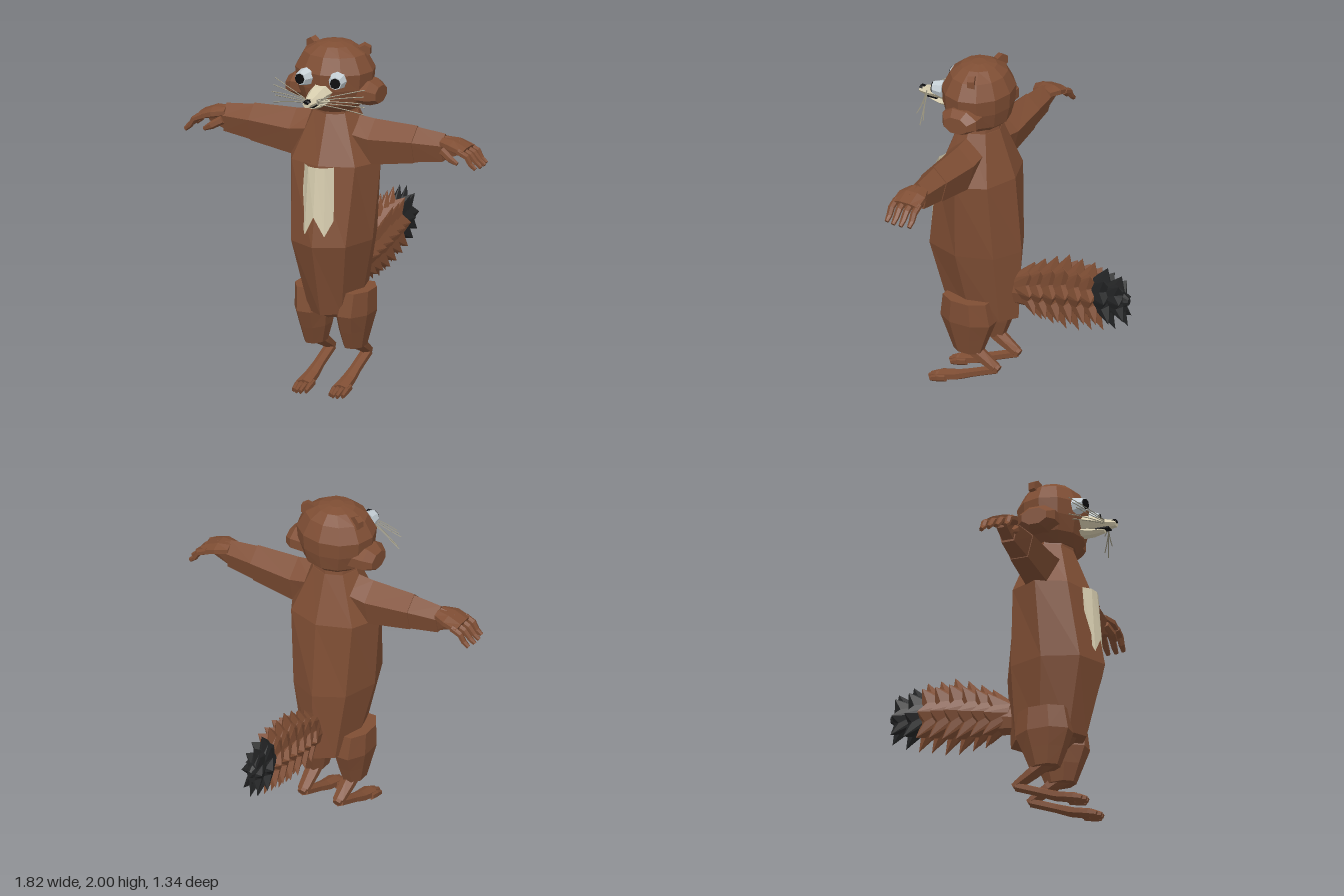
import * as THREE from 'three';

const paint = (name, color, side = THREE.FrontSide) => {
  const m = new THREE.MeshStandardMaterial({ color, flatShading: true, side });
  m.name = name;
  return m;
};

export function createModel() {
  const root = new THREE.Group();
  root.name = 'standingAnimal';
  const fur = paint('brownFur', 0x7f4e34);
  const cream = paint('creamFur', 0xd6ccae, THREE.DoubleSide);
  const black = paint('blackFur', 0x232425);
  const white = paint('eyeWhite', 0xc6d0d6);
  const dark = paint('pupilBlack', 0x0b0b0d);
  const hair = paint('whiskerGrey', 0x9a9580);

  const add = (name, geo, mat, parent = root) => {
    const m = new THREE.Mesh(geo, mat);
    m.name = name;
    parent.add(m);
    return m;
  };

  // Closed faceted skin through equal-sized rings of points; always faces outward
  const loft = (rings) => {
    const tris = [];
    const n = rings[0].length;
    for (let i = 0; i < rings.length - 1; i++) {
      for (let j = 0; j < n; j++) {
        const k = (j + 1) % n, a = rings[i], b = rings[i + 1];
        tris.push([a[j], a[k], b[k]], [a[j], b[k], b[j]]);
      }
    }
    const centre = (r) => r.reduce((s, p) => s.add(p), new THREE.Vector3()).divideScalar(n);
    const first = rings[0], last = rings[rings.length - 1];
    const c0 = centre(first), c1 = centre(last);
    for (let j = 0; j < n; j++) {
      const k = (j + 1) % n;
      tris.push([c0, first[k], first[j]], [c1, last[j], last[k]]);
    }
    let volume = 0;
    for (const [a, b, c] of tris) volume += a.dot(b.clone().cross(c));
    const pts = tris.flatMap(([a, b, c]) => (volume < 0 ? [a, c, b] : [a, b, c]));
    const g = new THREE.BufferGeometry().setFromPoints(pts);
    g.computeVertexNormals();
    return g;
  };
  const circle = (n, f, turn = 0) => Array.from({ length: n }, (_, j) => {
    const a = ((j + turn) / n) * Math.PI * 2;
    return new THREE.Vector3(...f(Math.cos(a), Math.sin(a), j));
  });
  // Stacked level rings: [y, centreX, radiusX, centreZ, radiusZ]
  const stack = (rows, n, s = 1, turn = 0) => loft(rows.map(([y, cx, rx, cz, rz]) =>
    circle(n, (c, d) => [s * (cx + c * rx), y, cz + d * rz], turn)));
  // Limb along a path: [x, y, z, half width along 'across', half thickness]
  const limb = (path, across, n, s = 1) => {
    const P = path.map((p) => new THREE.Vector3(p[0], p[1], p[2]));
    return loft(P.map((p, i) => {
      const d = P[Math.min(i + 1, P.length - 1)].clone().sub(P[Math.max(i - 1, 0)]);
      const v = d.cross(across).normalize();
      return circle(n, (c, e) => {
        const q = p.clone().addScaledVector(across, c * path[i][3]).addScaledVector(v, e * path[i][4]);
        return [s * q.x, q.y, q.z];
      }, 0.5);
    }));
  };
  const X = new THREE.Vector3(1, 0, 0), Z = new THREE.Vector3(0, 0, 1);

  // Body, neck and head
  add('body', stack([
    [0.46, 0, 0.14, 0.265, 0.225], [0.88, 0, 0.235, 0.31, 0.29],
    [1.33, 0, 0.275, 0.29, 0.23], [1.61, 0, 0.135, 0.285, 0.125],
  ], 8), fur);
  add('neck', stack([[1.56, 0, 0.14, 0.285, 0.13], [1.66, 0, 0.12, 0.29, 0.12]], 8), fur);
  add('head', stack([
    [1.62, 0, 0.12, 0.3, 0.12], [1.67, 0, 0.185, 0.295, 0.175], [1.76, 0, 0.22, 0.295, 0.195],
    [1.85, 0, 0.23, 0.295, 0.2], [1.94, 0, 0.18, 0.295, 0.155], [1.985, 0, 0.105, 0.295, 0.1],
    [2.0, 0, 0.04, 0.295, 0.04],
  ], 12), fur);

  // Chest patch with two points
  const top = [[-0.09, 1.33, 0.5], [-0.05, 1.33, 0.54], [0, 1.33, 0.552], [0.05, 1.33, 0.54], [0.09, 1.33, 0.5]];
  const low = [[-0.1, 1.03, 0.527], [-0.06, 0.94, 0.566], [0, 1.05, 0.58], [0.06, 0.94, 0.566], [0.1, 1.03, 0.527]];
  const patch = new THREE.BufferGeometry();
  patch.setAttribute('position', new THREE.Float32BufferAttribute([...top, ...low].flat(), 3));
  patch.setIndex([0, 1, 2, 3].flatMap((i) => [i, i + 5, i + 6, i, i + 6, i + 1]));
  patch.computeVertexNormals();
  add('chestPatch', patch, cream);

  // Muzzle, lower jaw, nose and mouth
  const snout = (rows) => loft(rows.map(([z, cy, rx, ry]) => circle(6, (c, d) => [c * rx, cy + d * ry, z])));
  add('muzzle', snout([[0.43, 1.755, 0.075, 0.05], [0.52, 1.75, 0.058, 0.04], [0.62, 1.73, 0.036, 0.027], [0.668, 1.728, 0.024, 0.02]]), cream);
  add('lowerJaw', snout([[0.43, 1.705, 0.055, 0.03], [0.53, 1.692, 0.04, 0.02], [0.6, 1.695, 0.022, 0.01]]), cream);
  add('nose', snout([[0.64, 1.742, 0.02, 0.012], [0.666, 1.74, 0.022, 0.014], [0.672, 1.74, 0.012, 0.008]]), dark);
  add('mouth', new THREE.BoxGeometry(0.05, 0.008, 0.08), dark).position.set(0, 1.705, 0.59);

  for (const s of [1, -1]) {
    const side = new THREE.Group();
    side.name = s > 0 ? 'leftSide' : 'rightSide';
    root.add(side);

    // Cheek tufts and ears
    add('cheek', loft([[0.12, 0.12, 0.075], [0.23, 0.118, 0.074], [0.275, 0.08, 0.05]].map(([x, rz, ry]) =>
      circle(8, (c, d) => [s * x, 1.73 + d * ry - (x > 0.25 ? 0.01 : 0), 0.285 + c * rz], 0.5))), fur, side);
    const ear = add('ear', new THREE.CylinderGeometry(0.036, 0.042, 0.04, 6), fur, side);
    ear.position.set(s * 0.158, 1.95, 0.25);
    ear.rotation.set(Math.PI / 2, 0, -s * 0.4);

    // Eyes
    const eye = new THREE.Group();
    eye.name = 'eye';
    eye.position.set(s * 0.098, 1.825, 0.475);
    eye.rotation.y = s * 0.2;
    side.add(eye);
    const ball = add('eyeball', new THREE.CylinderGeometry(0.036, 0.052, 0.06, 8), white, eye);
    ball.rotation.x = Math.PI / 2;
    ball.position.z = 0.02;
    const pupil = add('pupil', new THREE.CylinderGeometry(0.03, 0.03, 0.008, 8), dark, eye);
    pupil.rotation.x = Math.PI / 2;
    pupil.position.z = 0.053;

    // Whiskers
    for (let i = 0; i < 5; i++) {
      const curve = new THREE.QuadraticBezierCurve3(
        new THREE.Vector3(s * 0.035, 1.745 - i * 0.006, 0.61),
        new THREE.Vector3(s * 0.15, 1.775 - i * 0.018, 0.56),
        new THREE.Vector3(s * 0.275, 1.8 - i * 0.034, 0.49 + (i % 3) * 0.022));
      add('whisker', new THREE.TubeGeometry(curve, 5, 0.0028, 4), hair, side);
    }

    // Arm: five-sided sleeves from shoulder to wrist
    const sleeve = (rows) => loft(rows.map(([x, yTop, yBottom, rz]) => circle(5, (c, d) => {
      const t = (c + 0.809) / 1.809;
      return [s * x, yBottom + (yTop - yBottom) * t, 0.287 + d * rz / 0.951];
    })));
    add('upperArm', sleeve([[0.1, 1.59, 1.36, 0.1], [0.24, 1.575, 1.325, 0.102], [0.5, 1.568, 1.365, 0.084]]), fur, side);
    add('forearm', sleeve([[0.49, 1.562, 1.368, 0.08], [0.67, 1.545, 1.392, 0.06]]), fur, side);
    add('wrist', sleeve([[0.66, 1.535, 1.4, 0.053], [0.76, 1.515, 1.44, 0.05]]), fur, side);
    add('palm', limb([[0.66, 1.5, 0.287, 0.06, 0.03], [0.73, 1.492, 0.287, 0.09, 0.034], [0.81, 1.468, 0.287, 0.09, 0.024]], Z, 8, s), fur, side);
    for (let i = 0; i < 4; i++) {
      const z = 0.215 + i * 0.048, e = i === 0 || i === 3 ? 0.012 : 0;
      add('finger', limb([[0.78, 1.475, z, 0.02, 0.02], [0.835, 1.45, z, 0.02, 0.018],
        [0.87 - e, 1.41, z, 0.018, 0.015], [0.9 - e, 1.385, z, 0.012, 0.013]], Z, 6, s), fur, side);
    }
    add('thumb', limb([[0.67, 1.46, 0.335, 0.022, 0.025], [0.73, 1.425, 0.355, 0.02, 0.022],
      [0.775, 1.4, 0.355, 0.012, 0.012]], Z, 6, s), fur, side);

    // Leg
    add('thigh', stack([
      [0.25, 0.12, 0.06, 0.29, 0.09], [0.35, 0.12, 0.085, 0.29, 0.13],
      [0.45, 0.125, 0.105, 0.288, 0.17], [0.585, 0.14, 0.09, 0.288, 0.148],
    ], 8, s, 0.5), fur, side);
    add('shin', limb([[0.118, 0.3, 0.31, 0.045, 0.06], [0.115, 0.235, 0.22, 0.045, 0.038],
      [0.112, 0.175, 0.12, 0.036, 0.026]], X, 6, s), fur, side);
    add('heel', limb([[0.112, 0.185, 0.135, 0.03, 0.025], [0.112, 0.168, 0.1, 0.026, 0.022]], X, 6, s), fur, side);
    add('foot', limb([[0.112, 0.165, 0.12, 0.034, 0.026], [0.112, 0.105, 0.27, 0.034, 0.026],
      [0.112, 0.068, 0.36, 0.042, 0.03], [0.112, 0.04, 0.47, 0.05, 0.03]], X, 6, s), fur, side);
    for (let i = 0; i < 4; i++) {
      const x = 0.074 + i * 0.0255, e = i === 0 || i === 3 ? 0.02 : 0;
      add('toe', limb([[x, 0.045, 0.42, 0.014, 0.022], [x, 0.034, 0.49 - e, 0.015, 0.024],
        [x, 0.017, 0.54 - e, 0.01, 0.015]], X, 6, s), fur, side);
    }
  }

  // Pelvis joining the thighs under the body
  add('pelvis', stack([[0.42, 0, 0.07, 0.27, 0.12], [0.5, 0, 0.14, 0.27, 0.2]], 8), fur);

  // Tail: overlapping spiky collars [tip z, axis y, half height, half width]; the last are black
  const collars = [
    [-0.088, 0.665, 0.175, 0.095], [-0.16, 0.682, 0.2, 0.1], [-0.24, 0.697, 0.222, 0.103],
    [-0.32, 0.717, 0.232, 0.103], [-0.402, 0.728, 0.217, 0.1], [-0.48, 0.738, 0.207, 0.095],
    [-0.56, 0.745, 0.185, 0.088], [-0.645, 0.752, 0.15, 0.066],
  ];
  collars.forEach(([z, y, h, w], i) => {
    const ring = (dz, inner, outer) => circle(16, (c, d, j) => {
      const k = j % 2 ? inner : outer;
      const back = j % 2 ? dz[0] : dz[1];
      return [c * w * k, y + d * h * k, z + back + d * h * k * 0.13];
    });
    add('tailCollar' + (i + 1), loft([
      ring([0.13, 0.13], 0.45, 0.45), ring([0.04, 0], 0.72, 1), ring([0, 0], 0.4, 0.4),
    ]), i > 5 ? black : fur);
  });
  add('tailTip', loft([[-0.6, 0.07, 0.045], [-0.672, 0.02, 0.015]].map(([z, h, w]) =>
    circle(8, (c, d) => [c * w, 0.755 + d * h, z]))), black);
  add('tailRoot', loft([[0.07, 0.63, 0.085, 0.045], [-0.04, 0.652, 0.1, 0.055]].map(([z, y, h, w]) =>
    circle(8, (c, d) => [c * w, y + d * h, z]))), fur);

  return root;
}
